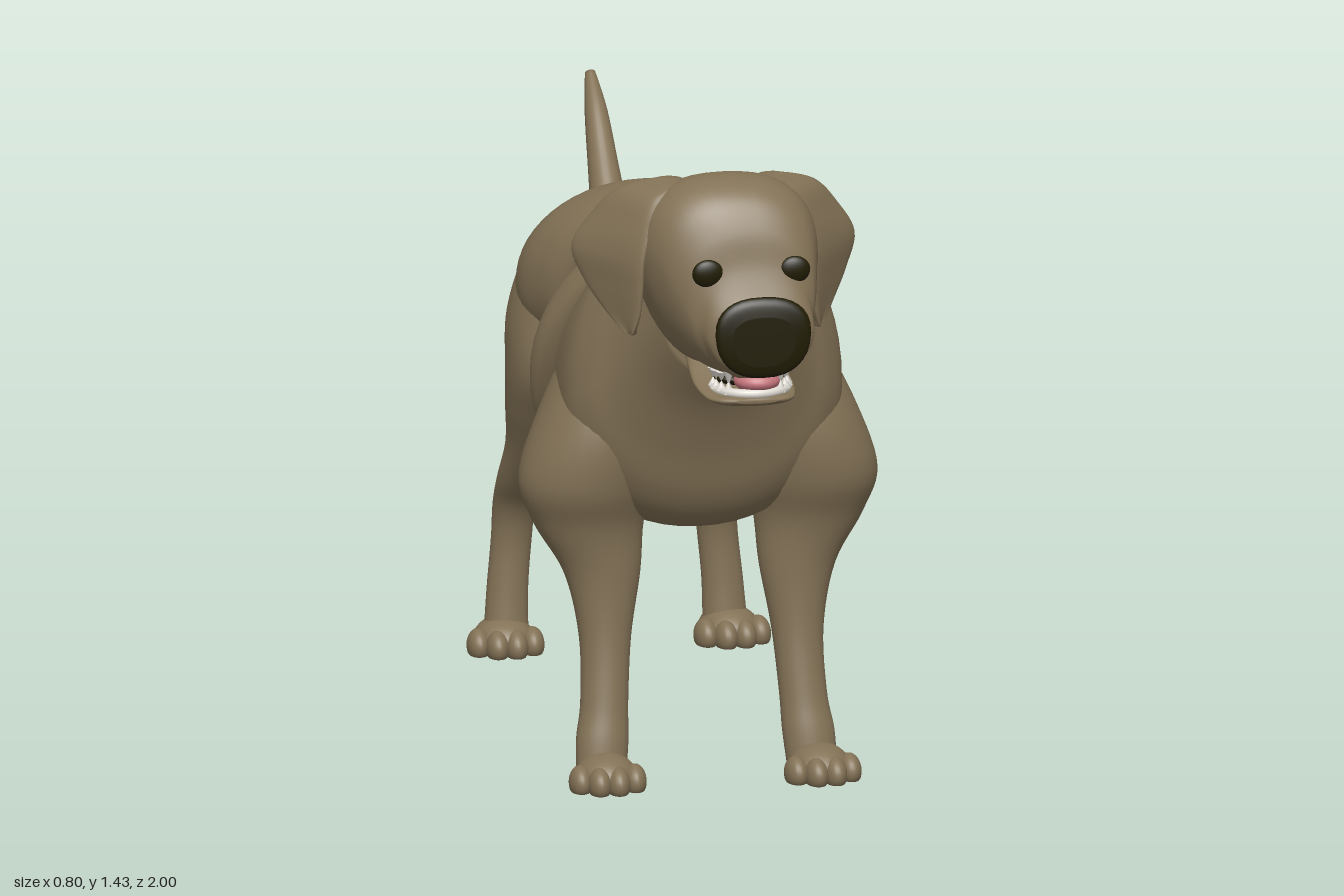
import * as THREE from 'three';

const mat = (name, color) => {
  const m = new THREE.MeshStandardMaterial({ color });
  m.name = name;
  return m;
};

// Smooth interpolation of one column between four key rows
const spline = (a, b, c, d, t) =>
  0.5 * (2 * b + (c - a) * t + (2 * a - 5 * b + 4 * c - d) * t * t + (3 * b - a - 3 * c + d) * t * t * t);

// Closed surface through key rows; ring(row, angle) gives a point as [x, y, z]
function loft(rows, ring, sides = 40, steps = 6) {
  const pos = [], idx = [], n = rows.length;
  const row = i => rows[Math.min(n - 1, Math.max(0, i))];
  const count = (n - 1) * steps + 1;
  for (let k = 0; k < count; k++) {
    const i = Math.min(n - 2, Math.floor(k / steps)), t = k / steps - i;
    const r = row(i).map((_, c) => spline(row(i - 1)[c], row(i)[c], row(i + 1)[c], row(i + 2)[c], t));
    for (let s = 0; s < sides; s++) pos.push(...ring(r, (s / sides) * Math.PI * 2));
  }
  for (let k = 0; k < count - 1; k++) for (let s = 0; s < sides; s++) {
    const a = k * sides + s, b = k * sides + (s + 1) % sides;
    idx.push(a, b, a + sides, b, b + sides, a + sides);
  }
  // Close both ends on a centre point
  for (const [start, flip] of [[0, false], [(count - 1) * sides, true]]) {
    const mid = [0, 0, 0], p = pos.length / 3;
    for (let s = 0; s < sides; s++) for (let c = 0; c < 3; c++) mid[c] += pos[(start + s) * 3 + c] / sides;
    pos.push(...mid);
    for (let s = 0; s < sides; s++) {
      const a = start + s, b = start + (s + 1) % sides;
      if (flip) idx.push(a, b, p); else idx.push(b, a, p);
    }
  }
  // Turn all faces outward
  let volume = 0;
  const v = i => new THREE.Vector3().fromArray(pos, i * 3);
  for (let i = 0; i < idx.length; i += 3) volume += v(idx[i]).dot(v(idx[i + 1]).cross(v(idx[i + 2])));
  if (volume < 0) idx.reverse();
  const g = new THREE.BufferGeometry();
  g.setAttribute('position', new THREE.Float32BufferAttribute(pos, 3));
  g.setIndex(idx);
  g.computeVertexNormals();
  return g;
}

const bend = (v, e) => Math.sign(v) * Math.abs(v) ** e;
// Upright ring: [z, top, bottom, widest height, half width, centre x]; taper narrows the lower half
const upright = (e, taper = 0) => ([z, top, bottom, wide, hw, cx], a) => {
  const s = bend(Math.sin(a), e);
  const w = hw * (1 + taper * Math.min(0, s));
  return [cx + w * bend(Math.cos(a), e), wide + s * (s > 0 ? top - wide : wide - bottom), z];
};
// Level ring: [y, centre x, centre z, radius x, radius z]
const level = m => ([y, cx, cz, rx, rz], a) => [m * cx + rx * Math.cos(a), y, cz + rz * Math.sin(a)];

export function createModel() {
  const fur = mat('brown fur', 0x837256), dark = mat('dark skin', 0x201c04);
  const pink = mat('pink tongue', 0xc4757c), white = mat('white teeth', 0xdedad2);
  const dog = new THREE.Group();
  dog.name = 'dog';
  const add = (name, geo, material, parent = dog) => {
    const m = new THREE.Mesh(geo, material);
    m.name = name;
    parent.add(m);
    return m;
  };
  const sphere = new THREE.SphereGeometry(1, 24, 16);
  const ball = (name, material, [x, y, z], [sx, sy, sz], parent, geo = sphere) => {
    const m = add(name, geo, material, parent);
    m.position.set(x, y, z);
    m.scale.set(sx, sy, sz);
    return m;
  };

  // Torso and neck
  add('torso', loft([
    [-0.535, 0.95, 0.78, 0.87, 0.09, 0.025], [-0.5, 1.02, 0.7, 0.88, 0.19, 0.025],
    [-0.42, 1.075, 0.67, 0.88, 0.26, 0.025], [-0.32, 1.125, 0.69, 0.9, 0.275, 0.025],
    [-0.22, 1.143, 0.71, 0.92, 0.235, 0.02], [-0.12, 1.143, 0.685, 0.92, 0.187, 0.02],
    [0, 1.13, 0.64, 0.89, 0.225, 0.015], [0.1, 1.113, 0.59, 0.86, 0.295, 0.01],
    [0.2, 1.115, 0.545, 0.83, 0.333, 0.01], [0.3, 1.14, 0.52, 0.83, 0.325, 0.01],
    [0.4, 1.18, 0.53, 0.85, 0.31, 0], [0.5, 1.25, 0.55, 0.87, 0.315, 0],
    [0.57, 1.305, 0.58, 0.88, 0.305, 0], [0.62, 1.335, 0.65, 0.9, 0.27, 0],
    [0.655, 1.355, 0.76, 0.96, 0.225, 0], [0.7, 1.37, 0.87, 1.05, 0.18, 0],
    [0.76, 1.38, 0.96, 1.12, 0.14, 0.01]], upright(0.95), 56), fur);
  ball('sheath', fur, [0.02, 0.66, -0.085], [0.028, 0.035, 0.065]).rotation.x = 0.6;

  // Head with short muzzle, turned slightly to its left
  const head = new THREE.Group();
  head.name = 'head';
  dog.add(head);
  add('skull', loft([
    [0.58, 1.28, 1.1, 1.2, 0.12, 0], [0.68, 1.385, 1.01, 1.23, 0.18, 0],
    [0.76, 1.425, 0.99, 1.25, 0.198, 0.005], [0.83, 1.427, 1, 1.25, 0.194, 0.01],
    [0.89, 1.395, 1, 1.23, 0.172, 0.02], [0.93, 1.33, 1, 1.17, 0.147, 0.035],
    [0.95, 1.255, 1, 1.12, 0.127, 0.045], [0.972, 1.2, 1.01, 1.1, 0.118, 0.053],
    [0.985, 1.175, 1.025, 1.1, 0.1, 0.055]], upright(0.82, 0.18), 48), fur, head);
  add('nose', loft([
    [0.965, 1.19, 1.015, 1.11, 0.1, 0.055], [0.98, 1.192, 1.01, 1.11, 0.107, 0.055],
    [0.992, 1.178, 1.018, 1.105, 0.1, 0.055], [0.998, 1.15, 1.04, 1.1, 0.07, 0.055]],
    upright(0.82, 0.06), 32), dark, head);
  for (const x of [-0.062, 0.132])
    ball('eye', dark, [x, 1.243, 0.943], [0.035, 0.031, 0.014], head);

  // Mouth
  add('lowerJaw', loft([
    [0.77, 1.04, 0.985, 1.01, 0.1, 0.02], [0.86, 0.99, 0.96, 0.975, 0.11, 0.03],
    [0.93, 0.97, 0.942, 0.958, 0.1, 0.036], [0.965, 0.968, 0.943, 0.957, 0.08, 0.04],
    [0.982, 0.963, 0.952, 0.958, 0.045, 0.042]], upright(0.9), 32), fur, head);
  ball('mouthLining', dark, [0.04, 0.99, 0.88], [0.08, 0.018, 0.05], head);
  ball('tongue', pink, [0.05, 0.993, 0.93], [0.052, 0.026, 0.05], head);
  const gums = add('toothRow', new THREE.TorusGeometry(0.082, 0.011, 10, 24, Math.PI), white, head);
  gums.position.set(0.042, 0.971, 0.888);
  gums.rotation.x = Math.PI / 2;
  for (const [y, dir] of [[0.984, 1], [1.004, -1]]) {
    for (const i of [0, 1, 2, 3, 9, 10, 11, 12]) {
      const a = (i / 12) * Math.PI, long = i === 3 || i === 9 ? 0.032 : 0.022;
      const t = add('tooth', new THREE.ConeGeometry(0.013, long, 8), white, head);
      t.position.set(0.042 + 0.082 * Math.cos(a), y, 0.888 + 0.08 * Math.sin(a));
      if (dir < 0) t.rotation.x = Math.PI;
    }
  }

  // Hanging ears: [y, front x, front z, back x, back z, half thickness]
  for (const m of [-1, 1]) {
    add(m > 0 ? 'leftEar' : 'rightEar', loft([
      [1.412, 0.09, 0.78, 0.13, 0.73, 0.014], [1.385, 0.135, 0.81, 0.215, 0.7, 0.03],
      [1.32, 0.165, 0.832, 0.275, 0.675, 0.027], [1.25, 0.185, 0.843, 0.315, 0.665, 0.021],
      [1.18, 0.19, 0.845, 0.293, 0.69, 0.018], [1.12, 0.197, 0.84, 0.255, 0.74, 0.015],
      [1.08, 0.21, 0.83, 0.222, 0.8, 0.009]],
    ([y, fx, fz, bx, bz, th], a) => {
      const dx = (bx - fx) / 2, dz = (bz - fz) / 2, len = Math.hypot(dx, dz);
      const c = Math.cos(a), s = Math.sin(a) * th - 0.012 * (1 - c * c);
      return [m * ((fx + bx) / 2 + dx * c - (dz / len) * s), y, (fz + bz) / 2 + dz * c + (dx / len) * s];
    }, 28), fur, head);
  }

  // Flat-soled ball for feet and toes
  const flatBall = sphere.clone(), points = flatBall.attributes.position;
  for (let i = 0; i < points.count; i++) points.setY(i, Math.max(-0.5, points.getY(i)));
  flatBall.computeVertexNormals();
  const disc = new THREE.CircleGeometry(0.88, 24).rotateX(Math.PI / 2);

  // Paw with four toes and dark soles; z is the heel end
  const paw = (name, x, z, side) => {
    const g = new THREE.Group();
    g.name = name;
    g.position.set(x, 0, z);
    g.rotation.y = side * 0.06;
    dog.add(g);
    const pad = (part, px, pz, rx, ry, rz) => {
      ball(part, fur, [px, 0.004 + ry / 2, pz], [rx, ry, rz], g, flatBall);
      ball('sole', dark, [px, 0.002, pz], [rx, 1, rz], g, disc);
    };
    pad('foot', 0, 0.057, 0.068, 0.05, 0.08);
    [-0.06, -0.021, 0.021, 0.06].forEach((tx, i) =>
      pad('toe', tx, i % 3 ? 0.116 : 0.09, 0.026, 0.038, 0.044));
  };

  // Legs and paws on both sides
  for (const m of [-1, 1]) {
    const label = m > 0 ? 'left' : 'right';
    add(label + 'FrontLeg', loft([
      [1.05, 0.15, 0.45, 0.06, 0.08], [0.95, 0.175, 0.455, 0.11, 0.13], [0.8, 0.22, 0.475, 0.14, 0.15],
      [0.67, 0.25, 0.485, 0.15, 0.135], [0.57, 0.245, 0.49, 0.122, 0.095], [0.46, 0.218, 0.505, 0.085, 0.067],
      [0.32, 0.215, 0.525, 0.058, 0.053], [0.18, 0.222, 0.555, 0.053, 0.047], [0.1, 0.23, 0.575, 0.058, 0.047],
      [0.03, 0.235, 0.59, 0.056, 0.045]], level(m), 32), fur);
    ball('wristPad', fur, [m * 0.222, 0.165, 0.523], [0.022, 0.028, 0.02]);
    paw(label + 'FrontPaw', m * 0.235 + 0.006, 0.574, m);

    // The hips sit slightly to the left of centre
    const hip = 0.022 * m;
    add(label + 'HindLeg', loft([
      [1.03, 0.13 + hip, -0.37, 0.05, 0.06], [0.95, 0.145 + hip, -0.375, 0.1, 0.12],
      [0.82, 0.17 + hip, -0.385, 0.115, 0.148], [0.7, 0.19 + hip, -0.38, 0.1, 0.15],
      [0.6, 0.2 + hip, -0.41, 0.085, 0.115], [0.5, 0.21 + hip, -0.46, 0.066, 0.085],
      [0.4, 0.22 + hip / 2, -0.53, 0.052, 0.064], [0.33, 0.225 + hip / 2, -0.58, 0.047, 0.058],
      [0.25, 0.23 + hip / 2, -0.587, 0.045, 0.043], [0.14, 0.24 + hip / 2, -0.58, 0.046, 0.038],
      [0.03, 0.245 + hip / 2, -0.57, 0.05, 0.04]], level(m), 32), fur);
    paw(label + 'HindPaw', m * 0.248 + 0.011, -0.62, m);
  }

  // Tail sweeping down then up: [z, y, radius]
  const tail = [[-0.36, 1.01, 0.04], [-0.45, 0.975, 0.075], [-0.54, 0.91, 0.083], [-0.62, 0.86, 0.074],
    [-0.69, 0.873, 0.057], [-0.75, 0.925, 0.047], [-0.83, 1.015, 0.038], [-0.92, 1.12, 0.028], [-0.992, 1.19, 0.013]];
  const rows = tail.map(([z, y, r], i) => {
    const a = tail[Math.max(0, i - 1)], b = tail[Math.min(tail.length - 1, i + 1)];
    return [z, y, r, Math.atan2(b[1] - a[1], a[0] - b[0])];
  });
  add('tail', loft(rows, ([z, y, r, t], a) => [0.032 + r * 0.9 * Math.cos(a),
    y + r * Math.sin(a) * Math.cos(t), z + r * Math.sin(a) * Math.sin(t)], 28), fur);

  return dog;
}
